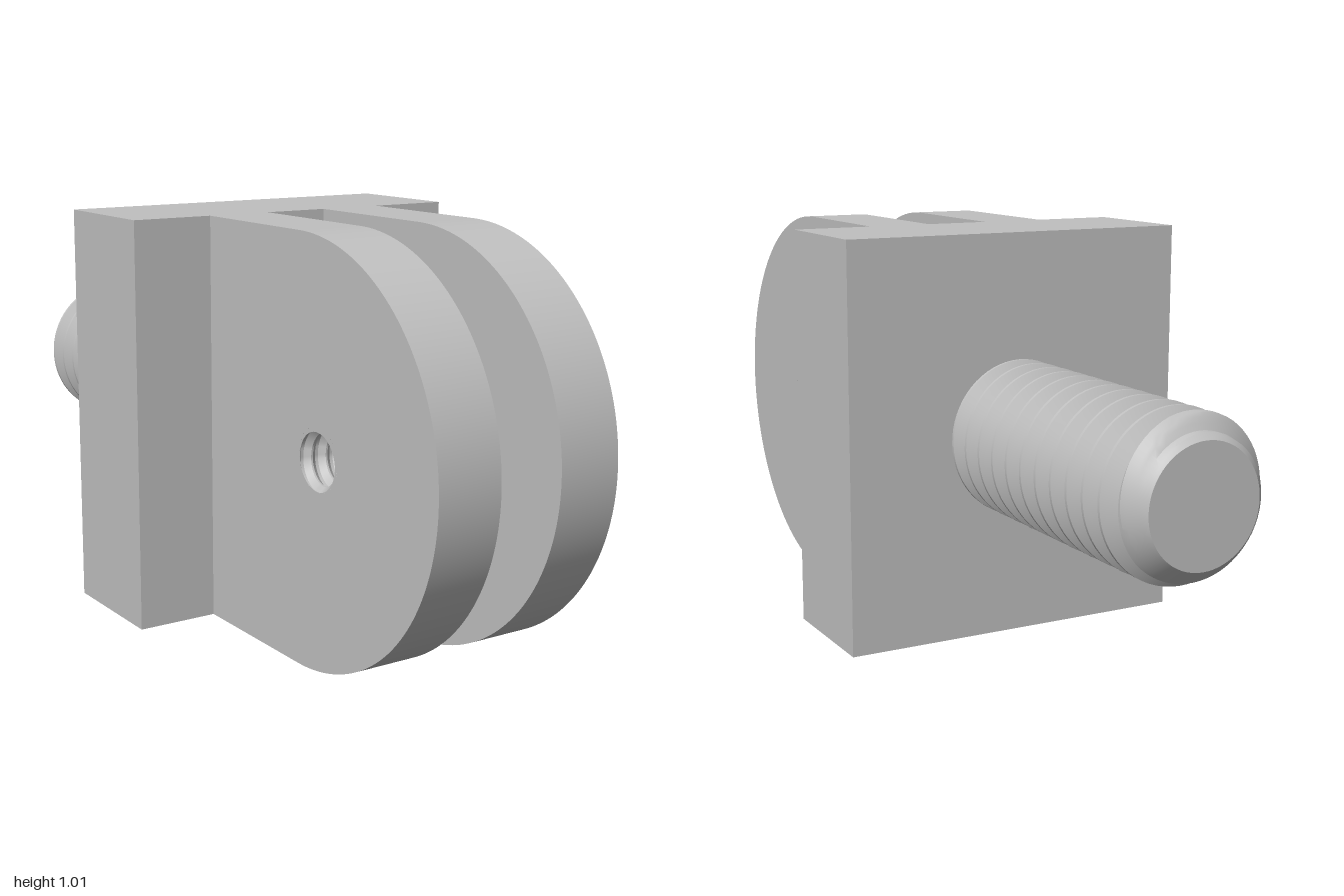
import * as THREE from 'three';
import { toCreasedNormals } from 'three/addons/utils/BufferGeometryUtils.js';

const MID_Y = 0.505;

// Helical thread along z from z0 to z1; both ends close onto capRadius.
// limit(z) caps the radius; inward turns the surface into a hole wall.
function threadGeometry({ z0, z1, pitch, crest, root, phase = 0, capRadius = 0, limit, inward = false, segments = 64 }) {
  const steps = [0.06, 0.17, 0.28, 0.4, 0.6, 0.72, 0.83, 0.94];
  const radiusAt = (theta, z) => {
    let f = z / pitch - theta / (2 * Math.PI) - phase;
    f = Math.abs(f - Math.round(f));
    const k = THREE.MathUtils.clamp((f - 0.06) / 0.34, 0, 1);
    const r = crest + (root - crest) * k;
    return limit ? Math.min(r, limit(z)) : r;
  };
  const levels = [];
  for (let n = Math.floor(z0 / pitch - phase) - 2; n <= Math.ceil(z1 / pitch - phase) + 1; n++) {
    steps.forEach((s) => levels.push(n + s + phase));
  }
  const point = (i, j) => {
    const theta = (i / segments) * Math.PI * 2;
    const isCap = j < 0 || j >= levels.length;
    const level = levels[THREE.MathUtils.clamp(j, 0, levels.length - 1)];
    const z = THREE.MathUtils.clamp(pitch * (level + i / segments), z0, z1);
    const r = isCap ? capRadius : radiusAt(theta, z);
    return new THREE.Vector3(r * Math.cos(theta), r * Math.sin(theta), z);
  };
  const positions = [];
  const triangle = (a, b, c) => {
    const area = b.clone().sub(a).cross(c.clone().sub(a)).length();
    if (area < 1e-9) return;
    (inward ? [a, c, b] : [a, b, c]).forEach((v) => positions.push(v.x, v.y, v.z));
  };
  for (let j = -1; j < levels.length; j++) {
    for (let i = 0; i < segments; i++) {
      const a = point(i, j), b = point(i + 1, j), c = point(i + 1, j + 1), d = point(i, j + 1);
      triangle(a, b, c);
      triangle(a, c, d);
    }
  }
  const geometry = new THREE.BufferGeometry();
  geometry.setAttribute('position', new THREE.Float32BufferAttribute(positions, 3));
  return toCreasedNormals(geometry, 0.45);
}

export function createModel() {
  const group = new THREE.Group();
  const steel = new THREE.MeshStandardMaterial({ color: 0xc0c0c0 });
  steel.name = 'grey steel';
  const add = (name, geometry) => {
    const mesh = new THREE.Mesh(geometry, steel);
    mesh.name = name;
    group.add(mesh);
    return mesh;
  };

  // Base plate
  const plateBack = -0.215, plateFront = 0.108;
  const plate = add('basePlate', new THREE.BoxGeometry(0.906, 1.01, plateFront - plateBack));
  plate.position.set(0, MID_Y, (plateBack + plateFront) / 2);

  // Rounded fork lugs, profile drawn in z and y
  const holeZ = 0.572, holeOuter = 0.075;
  const profile = new THREE.Shape();
  profile.moveTo(plateFront, 0);
  profile.lineTo(0.495, 0);
  profile.absarc(0.495, MID_Y, 0.505, -Math.PI / 2, Math.PI / 2, false);
  profile.lineTo(plateFront, 1.01);
  profile.closePath();
  const hole = new THREE.Path();
  hole.absarc(holeZ, MID_Y, holeOuter, 0, Math.PI * 2, true);
  profile.holes.push(hole);

  const inner = 0.083, outer = 0.247;
  for (const [side, start] of [['left', inner], ['right', -outer]]) {
    const lug = new THREE.ExtrudeGeometry(profile, { depth: outer - inner, bevelEnabled: false, curveSegments: 48 });
    lug.rotateY(-Math.PI / 2);
    lug.translate(start + outer - inner, 0, 0);
    add(side + 'Lug', toCreasedNormals(lug, 0.4));

    // Tapped pivot hole
    const wall = threadGeometry({
      z0: -start - (outer - inner), z1: -start, pitch: 0.04,
      crest: 0.062, root: holeOuter - 0.001, capRadius: holeOuter, inward: true, segments: 48,
    });
    wall.rotateY(-Math.PI / 2);
    wall.translate(0, MID_Y, holeZ);
    add(side + 'TappedHole', wall);
  }

  // Threaded stud with a chamfered tip
  const stud = add('threadedStud', threadGeometry({
    z0: -1, z1: plateBack + 0.01, pitch: 0.0655,
    crest: 0.193, root: 0.155, phase: 0.32,
    limit: (z) => 0.14 + (z + 1) * 0.95,
  }));
  stud.position.y = MID_Y;

  return group;
}
